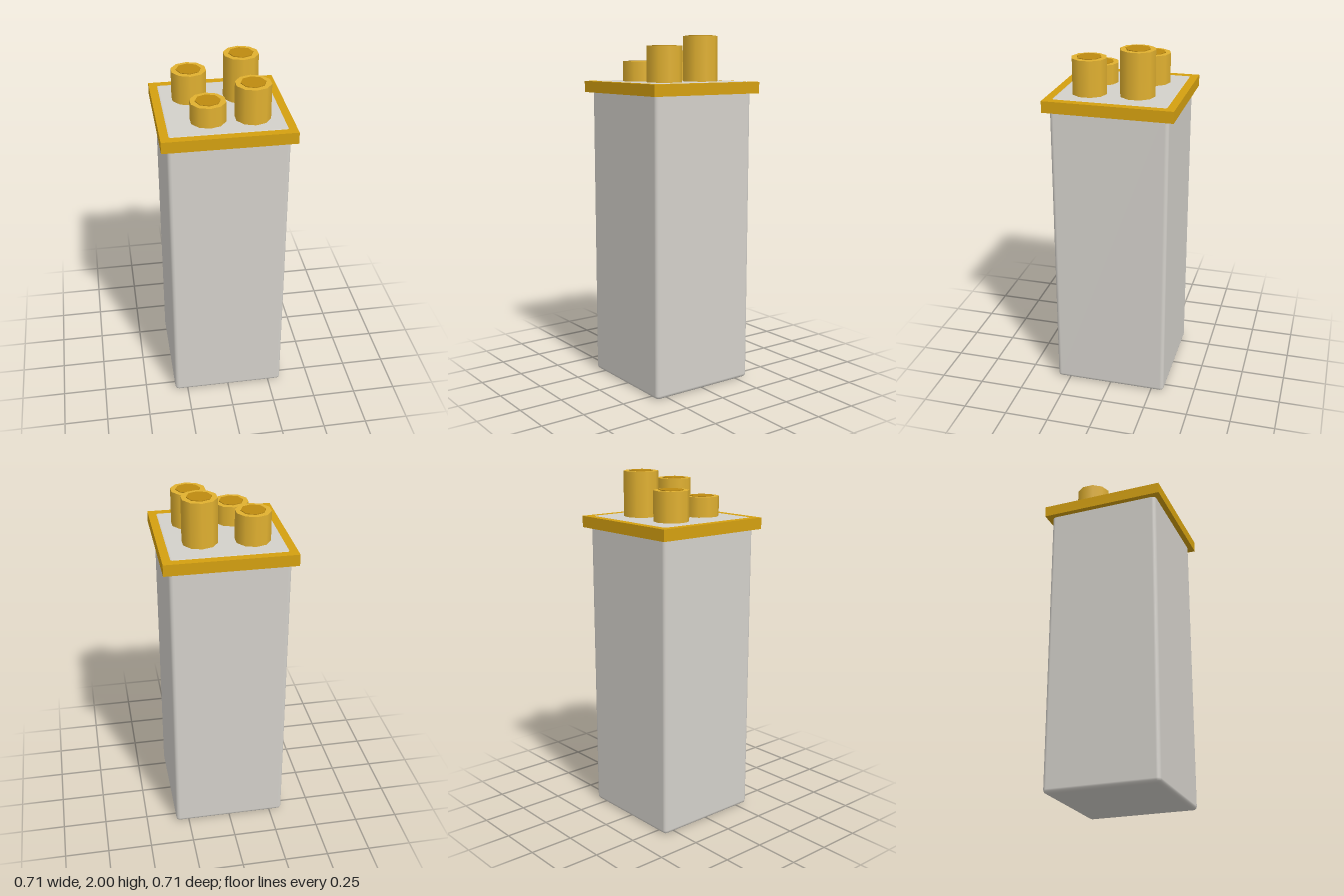
import * as THREE from 'three';
import { RoundedBoxGeometry } from 'three/addons/geometries/RoundedBoxGeometry.js';

const mat = (color) => new THREE.MeshStandardMaterial({ color });

export function createModel() {
  const model = new THREE.Group();
  model.name = 'chimney';

  const stone = mat(0xd3d0ca);
  const trim = mat(0xd4a010);
  const clay = mat(0xe0b030);
  const dark = mat(0xbd8a10);

  const add = (parent, name, geometry, material, x, y, z) => {
    const mesh = new THREE.Mesh(geometry, material);
    mesh.name = name;
    mesh.position.set(x, y, z);
    parent.add(mesh);
    return mesh;
  };

  // Tall stack with softened edges; its top shows just above the collar
  const stackTop = 1.744;
  add(model, 'stack', new RoundedBoxGeometry(0.65, stackTop, 0.65, 2, 0.022), stone, 0, stackTop / 2, 0);

  // Square collar around the top
  const collarTop = 1.742;
  const collarHeight = 0.064;
  add(model, 'collar', new THREE.BoxGeometry(0.714, collarHeight, 0.714), trim, 0, collarTop - collarHeight / 2, 0);

  // Four pots of different heights: [x, z, top]
  const pots = [
    [-0.153, -0.132, 1.915],
    [0.13, -0.112, 2.0],
    [-0.088, 0.15, 1.86],
    [0.151, 0.15, 1.945],
  ];
  const lip = 0.004;
  const base = 1.735;
  for (const [x, z, top] of pots) {
    const pot = new THREE.Group();
    pot.name = 'pot';
    pot.position.set(x, 0, z);
    const height = top - lip - base;
    add(pot, 'potWall', new THREE.CylinderGeometry(0.0975, 0.0975, height, 10), clay, 0, base + height / 2, 0);
    // Dark flue opening, standing slightly proud
    add(pot, 'flue', new THREE.CylinderGeometry(0.068, 0.068, 0.02, 8), dark, 0, top - 0.01, 0);
    model.add(pot);
  }

  return model;
}
